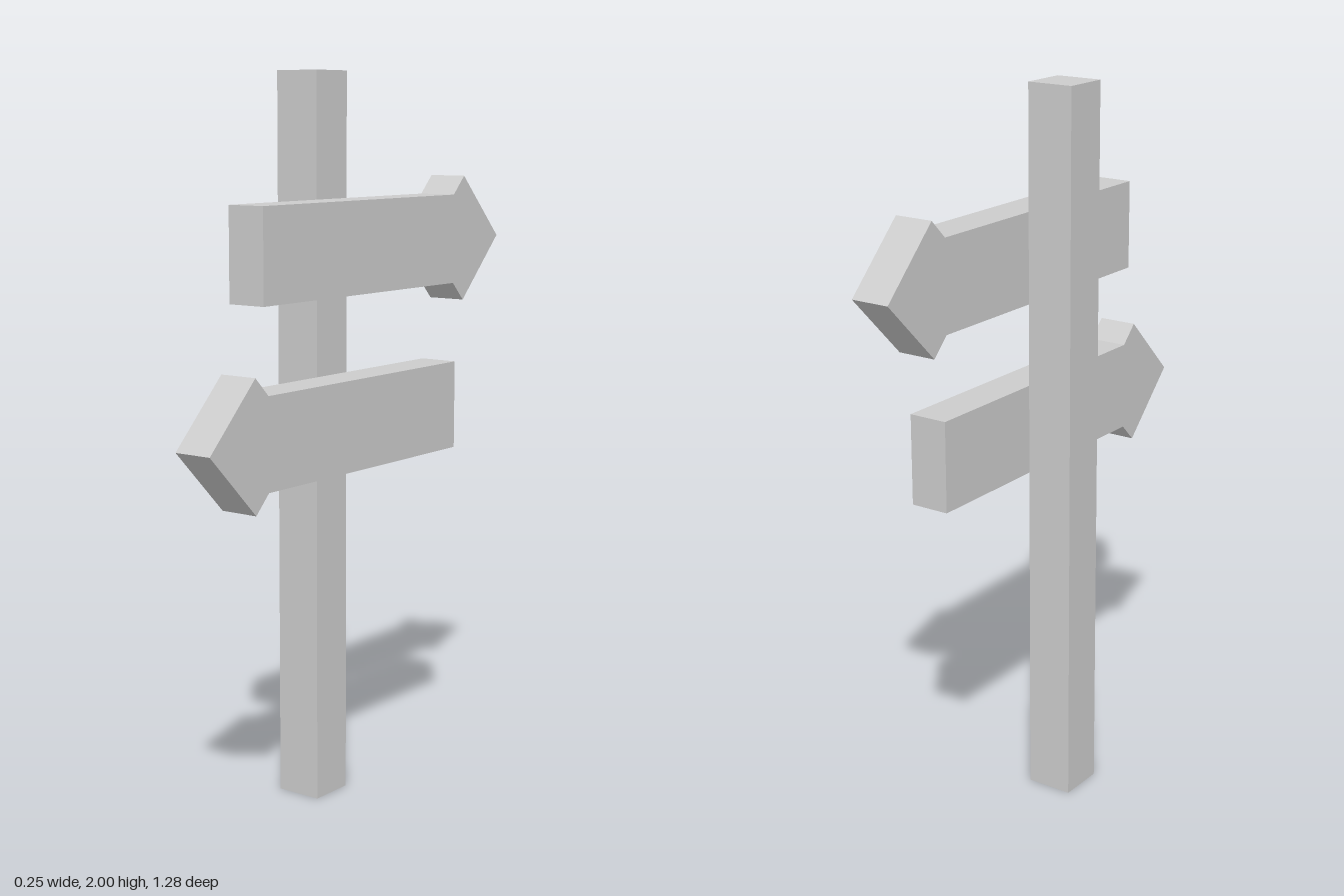
import * as THREE from 'three';

const grey = new THREE.MeshStandardMaterial({ color: 0xcccccc });
grey.name = 'grey';

// Arrow board lying in the z-y plane; dir is the z direction it points to
function arrowBoard(name, dir, midY, tail) {
  const half = 0.124, headHalf = 0.175;
  const outline = [
    [tail, -half], [0.413, -half], [0.464, -headHalf], [0.639, 0],
    [0.464, headHalf], [0.413, half], [tail, half],
  ];
  const shape = new THREE.Shape(outline.map(([u, v]) => new THREE.Vector2(u * dir, v)));
  const geometry = new THREE.ExtrudeGeometry(shape, { depth: 0.111, bevelEnabled: false });
  geometry.rotateY(-Math.PI / 2);
  const board = new THREE.Mesh(geometry, grey);
  board.name = name;
  board.position.set(0.123, midY, 0);
  return board;
}

export function createModel() {
  const model = new THREE.Group();
  model.name = 'signpost';

  // Square upright post
  const post = new THREE.Mesh(new THREE.BoxGeometry(0.132, 2, 0.132), grey);
  post.name = 'post';
  post.position.set(-0.059, 1, 0);
  model.add(post);

  // Two boards pointing opposite ways
  model.add(arrowBoard('upperArrow', -1, 1.539, -0.43));
  model.add(arrowBoard('lowerArrow', 1, 1.066, -0.427));
  return model;
}
